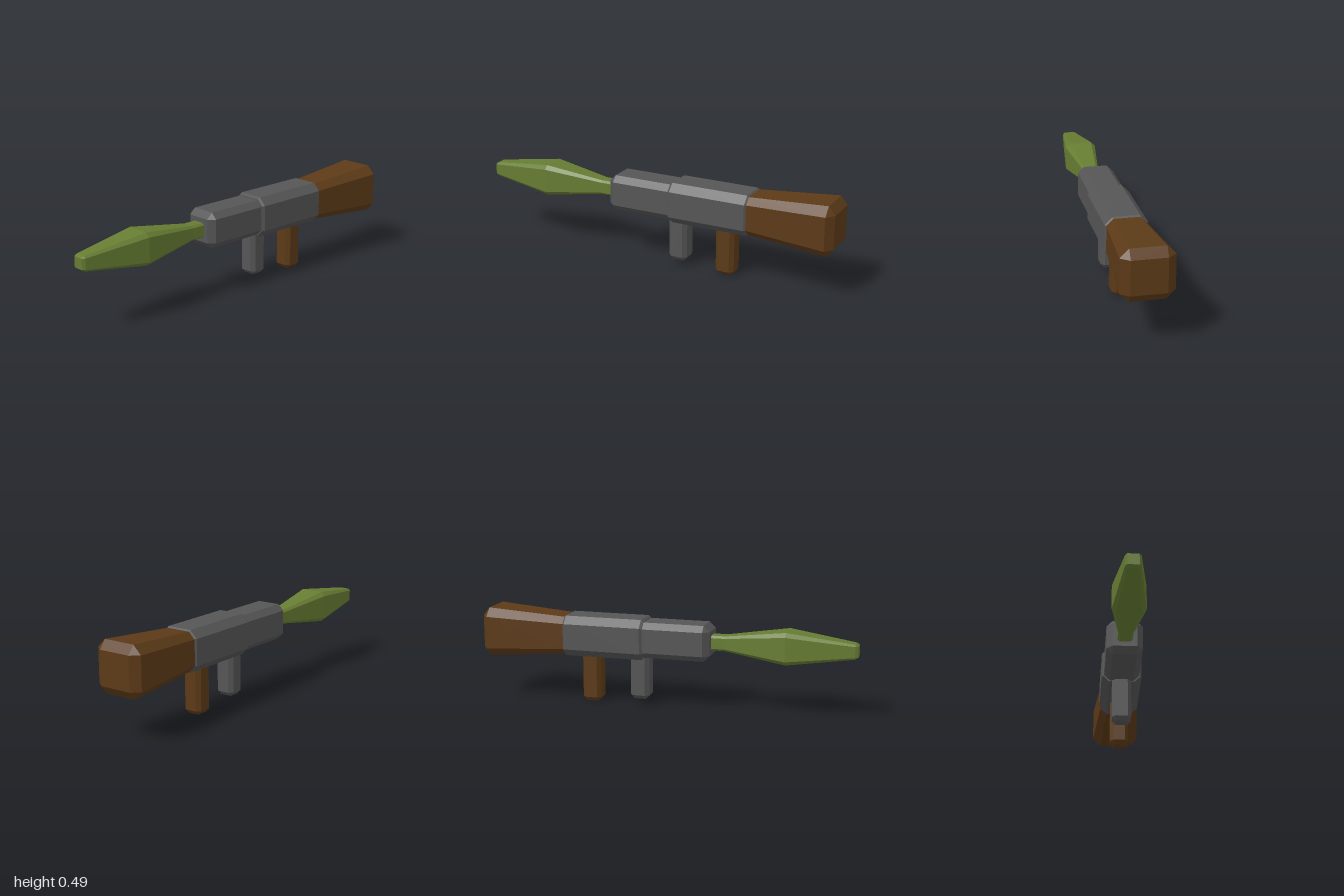
import * as THREE from 'three';

const AXIS_Y = 0.356;

// Bevelled square corners: h = half width, f = half width of the flat side
function ring([z, h, f]) {
  return [[h, -f], [h, f], [f, h], [-f, h], [-h, f], [-h, -f], [-f, -h], [f, -h]]
    .map(([x, y]) => [x, y, z]);
}

// Skin a list of [z, h, f] sections (z ascending) and cap both ends
function loft(sections) {
  const rings = sections.map(ring), n = 8, pos = [];
  const tri = (a, b, c) => pos.push(...a, ...b, ...c);
  for (let i = 0; i < rings.length - 1; i++) {
    for (let k = 0; k < n; k++) {
      const a = rings[i][k], b = rings[i][(k + 1) % n];
      const c = rings[i + 1][(k + 1) % n], d = rings[i + 1][k];
      tri(a, b, c);
      tri(a, c, d);
    }
  }
  const first = rings[0], last = rings[rings.length - 1];
  for (let k = 1; k < n - 1; k++) {
    tri(first[0], first[k + 1], first[k]);
    tri(last[0], last[k], last[k + 1]);
  }
  const g = new THREE.BufferGeometry();
  g.setAttribute('position', new THREE.Float32BufferAttribute(pos, 3));
  g.computeVertexNormals();
  return g;
}

export function createModel() {
  const group = new THREE.Group();
  const material = (color) => new THREE.MeshStandardMaterial({ color, flatShading: true });
  const wood = material(0x5c3a17), metal = material(0x555555), green = material(0x667c32);

  const add = (name, mat, sections) => {
    const mesh = new THREE.Mesh(loft(sections), mat);
    mesh.name = name;
    mesh.position.y = AXIS_Y;
    group.add(mesh);
    return mesh;
  };

  // Parts along the main axis, from back to front
  add('rearFlare', wood, [[-1, 0.087, 0.087], [-0.965, 0.131, 0.087], [-0.53, 0.099, 0.066]]);
  add('receiver', metal, [
    [-0.545, 0.098, 0.068], [-0.535, 0.107, 0.068], [-0.12, 0.107, 0.068], [-0.108, 0.098, 0.068],
  ]);
  add('barrel', metal, [[-0.13, 0.094, 0.063], [0.214, 0.094, 0.063], [0.247, 0.063, 0.063]]);
  add('warhead', green, [
    [0.23, 0.039, 0.028], [0.32, 0.039, 0.028], [0.64, 0.084, 0.063],
    [0.985, 0.038, 0.028], [1, 0.028, 0.028],
  ]);

  // Upright grips with bevelled feet
  const grip = (name, mat, z, bottom) => {
    const mesh = add(name, mat, [
      [bottom, 0.03, 0.03], [bottom + 0.022, 0.051, 0.031], [0.27, 0.051, 0.031],
    ]);
    mesh.rotation.x = -Math.PI / 2;
    mesh.position.set(0, 0, z);
  };
  grip('frontGrip', metal, -0.138, 0.03);
  grip('rearGrip', wood, -0.405, 0);

  return group;
}
